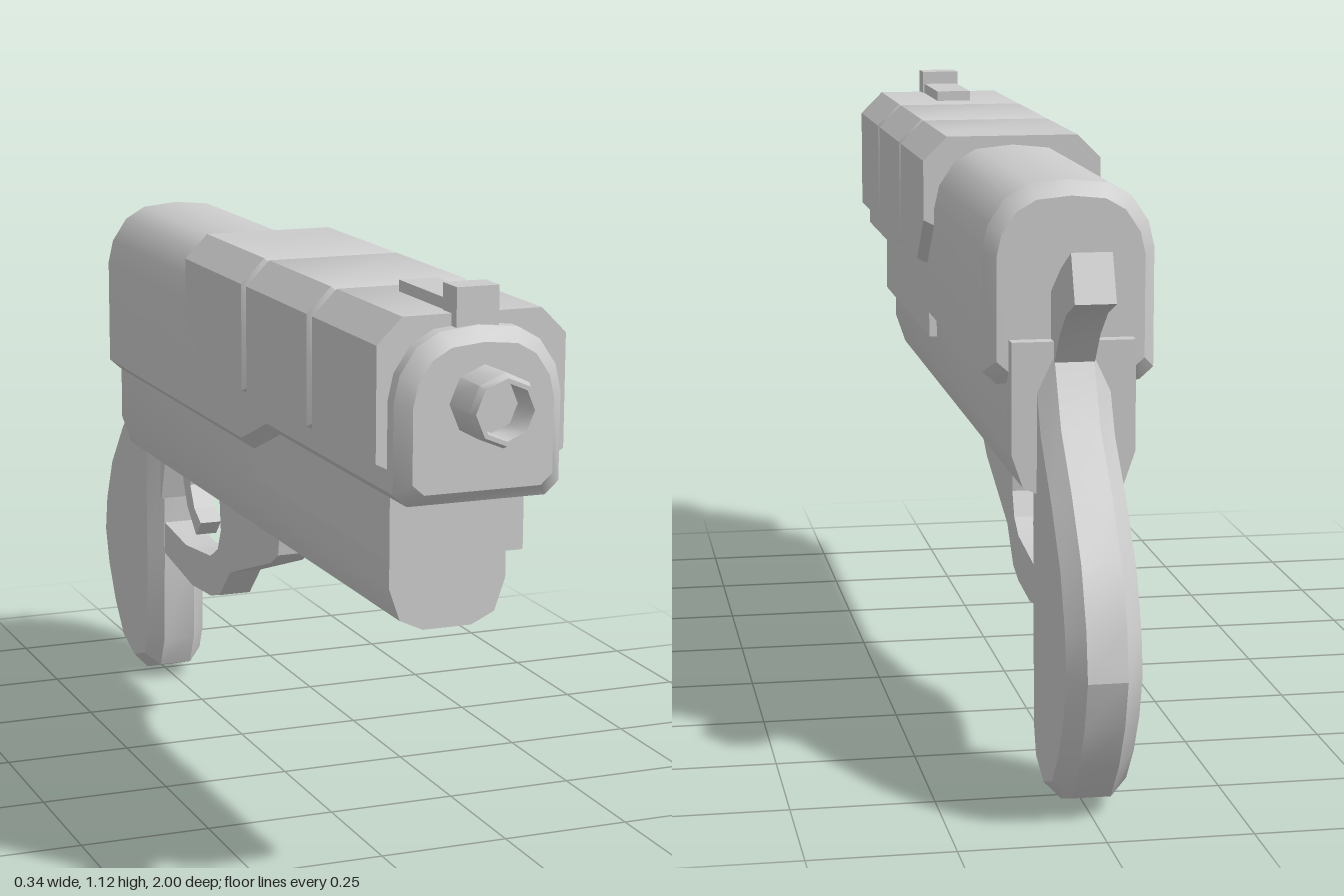
import * as THREE from 'three';
import { toCreasedNormals } from 'three/addons/utils/BufferGeometryUtils.js';

const material = new THREE.MeshStandardMaterial({ color: 0xcccccc });

// Complete a right half section (bottom to top) with its mirror image
const mirror = (half) => [...half, ...half.slice().reverse().filter(([x]) => x > 0).map(([x, y]) => [-x, y])];

// Shrink a section about a height, for bevelled ends
const inset = (section, cy, k) => section.map(([x, y]) => [x * k, cy + (y - cy) * k]);

// Skin convex sections, ordered front to back: [z, points]
function loft(rings) {
  const n = rings[0][1].length;
  const positions = [], index = [];
  for (const [z, points] of rings) for (const [x, y] of points) positions.push(x, y, z);
  for (let r = 0; r < rings.length - 1; r++) {
    for (let i = 0; i < n; i++) {
      const a = r * n + i, b = r * n + (i + 1) % n;
      index.push(a, a + n, b, b, a + n, b + n);
    }
  }
  const last = (rings.length - 1) * n;
  for (let i = 1; i < n - 1; i++) {
    index.push(0, i, i + 1, last, last + i + 1, last + i);
  }
  const geometry = new THREE.BufferGeometry();
  geometry.setAttribute('position', new THREE.Float32BufferAttribute(positions, 3));
  geometry.setIndex(index);
  return toCreasedNormals(geometry, 0.6);
}

// Extrude a side profile of [z, y] points across the width, optionally bevelled
function sideProfile(points, width, bevel = 0) {
  const shape = new THREE.Shape(points.map(([z, y]) => new THREE.Vector2(z, y)));
  const depth = width - 2 * bevel;
  const geometry = new THREE.ExtrudeGeometry(shape, {
    depth, bevelEnabled: bevel > 0, bevelThickness: bevel,
    bevelSize: bevel, bevelOffset: -bevel, bevelSegments: 1,
  });
  geometry.translate(0, 0, -depth / 2).rotateY(-Math.PI / 2);
  return toCreasedNormals(geometry, 0.45);
}

function box(x, y0, y1, z0, z1) {
  return new THREE.BoxGeometry(2 * x, y1 - y0, z1 - z0).translate(0, (y0 + y1) / 2, (z0 + z1) / 2);
}

export function createModel() {
  const model = new THREE.Group();
  const add = (name, geometry) => {
    const mesh = new THREE.Mesh(geometry, material);
    mesh.name = name;
    model.add(mesh);
  };

  // Slide: rounded top, bevelled ends, underside stepping down toward the back
  const slide = (b) => mirror([
    [0.125, b], [0.15, b + 0.022], [0.15, 0.94], [0.14, 0.985], [0.11, 1.03], [0.07, 1.053], [0, 1.06],
  ]);
  add('slide', loft([
    [0.91, inset(slide(0.765), 0.91, 0.84)],
    [0.885, slide(0.765)],
    [0.3, slide(0.765)],
    [0.165, slide(0.71)],
    [-0.645, slide(0.71)],
    [-0.67, inset(slide(0.71), 0.88, 0.86)],
  ]));

  // Three shroud plates over the slide, separated by bevelled grooves
  const shroud = (b) => mirror([[0.15, b - 0.01], [0.17, b], [0.17, 1.032], [0.125, 1.077]]);
  const full = shroud(0.835);
  const groove = inset(full, 0.95, 0.93);
  add('frontShroud', loft([[0.86, full], [0.575, full], [0.562, groove]]));
  add('middleShroud', loft([[0.562, groove], [0.549, full], [0.248, full], [0.235, groove]]));
  add('rearShroud', loft([[0.235, groove], [0.222, full], [0, full], [-0.09, shroud(0.92)]]));

  // Sight post and rib
  add('frontSight', box(0.038, 1.05, 1.123, 0.825, 0.88));
  add('sightRib', box(0.035, 1.05, 1.097, 0.635, 0.825));

  // Hollow muzzle
  const muzzle = new THREE.LatheGeometry(
    [[0.062, 0.85], [0.062, 0.985], [0.056, 1], [0.048, 1], [0.046, 0.94], [0, 0.94]]
      .map(([r, h]) => new THREE.Vector2(r, h)), 8);
  muzzle.rotateX(Math.PI / 2).translate(0, 0.937, 0);
  add('muzzle', toCreasedNormals(muzzle, 0.8));

  // Frame with rounded underside, front block and raised rear plate
  const frame = (top) => mirror([[0.045, 0.517], [0.088, 0.537], [0.108, 0.595], [0.108, top]]);
  add('frame', loft([[0.775, frame(0.74)], [-0.68, frame(0.74)]]));
  add('rearPlate', loft([[-0.655, frame(0.79)], [-0.698, frame(0.79)]]));
  add('frontBlock', box(0.123, 0.652, 0.78, 0.165, 0.81));

  // Curved grip with chamfered edges
  add('grip', sideProfile([
    [-0.6, 0.76], [-0.64, 0.5], [-0.64, 0.3], [-0.648, 0.1], [-0.675, 0.035], [-0.77, 0.003],
    [-0.865, 0.035], [-0.93, 0.11], [-0.975, 0.19], [-1, 0.275], [-0.985, 0.36], [-0.94, 0.46],
    [-0.855, 0.56], [-0.76, 0.65], [-0.695, 0.77],
  ].reverse(), 0.128, 0.03));
  add('gripShoulder', sideProfile([[-0.58, 0.53], [-0.61, 0.52], [-0.64, 0.42], [-0.7, 0.42], [-0.72, 0.6]], 0.08));

  // Hammer spur
  add('hammer', sideProfile([
    [-0.64, 0.76], [-0.705, 0.755], [-0.75, 0.81], [-0.81, 0.855], [-0.88, 0.882],
    [-0.845, 0.963], [-0.76, 0.925], [-0.675, 0.875], [-0.64, 0.84],
  ], 0.07));

  // Trigger guard and trigger
  add('triggerGuard', sideProfile([
    [0.06, 0.53], [0.05, 0.465], [0.01, 0.44], [-0.225, 0.36], [-0.29, 0.295], [-0.345, 0.28],
    [-0.46, 0.272], [-0.66, 0.3], [-0.66, 0.368], [-0.5, 0.35], [-0.345, 0.365], [-0.3, 0.39],
    [-0.28, 0.435], [-0.29, 0.53],
  ], 0.066));
  add('trigger', sideProfile([
    [-0.49, 0.54], [-0.5, 0.48], [-0.475, 0.435], [-0.435, 0.412], [-0.465, 0.38],
    [-0.52, 0.43], [-0.545, 0.48], [-0.55, 0.54],
  ], 0.045));

  return model;
}
